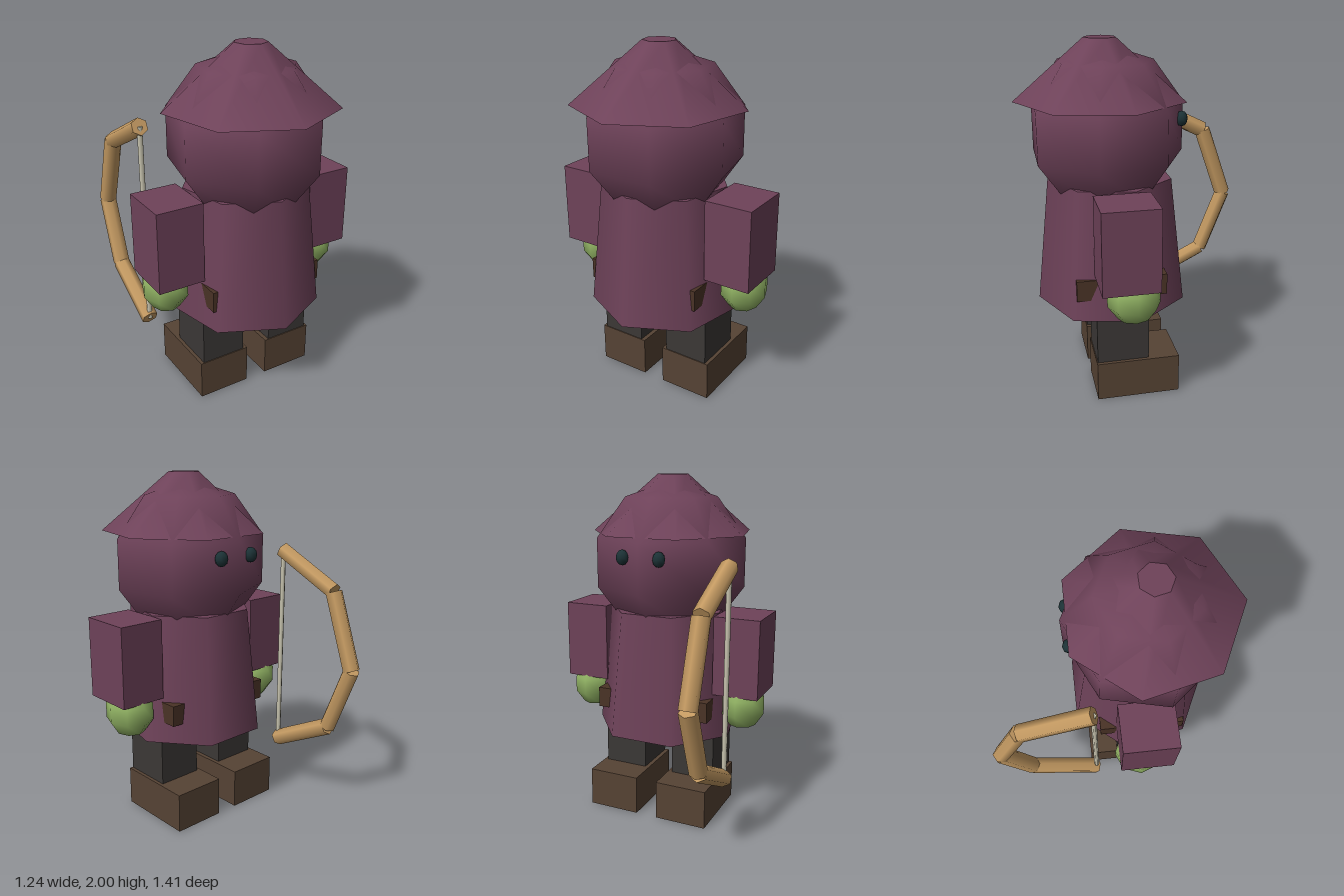
import * as THREE from 'three';

const mat = (color) => new THREE.MeshStandardMaterial({ color });

export function createModel() {
  const model = new THREE.Group();
  const cloth = mat(0x6e4259), skin = mat(0x8fb062), trouser = mat(0x3b3836);
  const leather = mat(0x564334), beltBrown = mat(0x4a3326), wood = mat(0xc49a62);
  const cord = mat(0xc9c5b0), dark = mat(0x1c3236);

  function add(name, geometry, material, x, y, z) {
    const mesh = new THREE.Mesh(geometry, material);
    mesh.name = name;
    mesh.position.set(x, y, z);
    model.add(mesh);
    return mesh;
  }

  // Box given by its lower and upper corners
  function box(name, material, [x0, y0, z0], [x1, y1, z1]) {
    return add(name, new THREE.BoxGeometry(x1 - x0, y1 - y0, z1 - z0), material,
      (x0 + x1) / 2, (y0 + y1) / 2, (z0 + z1) / 2);
  }

  // Straight rod between two points
  function rod(name, material, a, b, radius, sides) {
    const dir = b.clone().sub(a);
    const mid = a.clone().add(b).multiplyScalar(0.5);
    const mesh = add(name, new THREE.CylinderGeometry(radius, radius, dir.length(), sides),
      material, mid.x, mid.y, mid.z);
    mesh.quaternion.setFromUnitVectors(new THREE.Vector3(0, 1, 0), dir.normalize());
    return mesh;
  }

  // Seven-sided robe, head and pointed hood
  add('robe', new THREE.CylinderGeometry(0.355, 0.435, 0.73, 7), cloth, 0, 0.87, 0.18);
  const head = add('head', new THREE.SphereGeometry(0.461, 7, 5), cloth, 0, 1.503, 0.2);
  head.rotation.y = -Math.PI / 2;
  add('hood', new THREE.CylinderGeometry(0.09, 0.48, 0.33, 7), cloth, 0, 1.835, 0.225);

  // Belt block whose corners poke out of the robe
  box('belt', beltBrown, [-0.35, 0.625, -0.075], [0.35, 0.745, 0.43]);

  // Limbs and eyes on both sides
  for (const [side, s] of [['left', 1], ['right', -1]]) {
    const pair = (name, material, x0, x1, y0, y1, z0, z1) =>
      box(side + name, material, [Math.min(s * x0, s * x1), y0, z0],
        [Math.max(s * x0, s * x1), y1, z1]);
    pair('Sleeve', cloth, 0.345, 0.615, 0.77, 1.23, 0.02, 0.33);
    pair('Leg', trouser, 0.09, 0.355, 0.23, 0.52, 0.03, 0.325);
    pair('Boot', leather, 0.065, 0.375, 0, 0.23, -0.145, 0.33);
    const hand = add(side + 'Hand', new THREE.SphereGeometry(0.152, 8, 5), skin, s * 0.493, 0.702, 0.143);
    hand.scale.x = 0.88;
    const eye = add(side + 'Eye', new THREE.SphereGeometry(0.043, 8, 6), dark, s * 0.11, 1.563, -0.205);
    eye.scale.set(0.87, 1, 0.8);
  }

  // Bow of four straight limbs with its string
  const bowX = -0.478;
  const points = [[0.33, -0.115], [0.53, -0.508], [0.915, -0.657], [1.35, -0.505], [1.54, -0.115]]
    .map(([y, z]) => new THREE.Vector3(bowX, y, z));
  for (let i = 0; i < 4; i++) rod('bowLimb' + (i + 1), wood, points[i], points[i + 1], 0.05, 6);
  rod('bowString', cord, new THREE.Vector3(bowX, 0.33, -0.117),
    new THREE.Vector3(bowX, 1.54, -0.117), 0.015, 6);

  return model;
}
